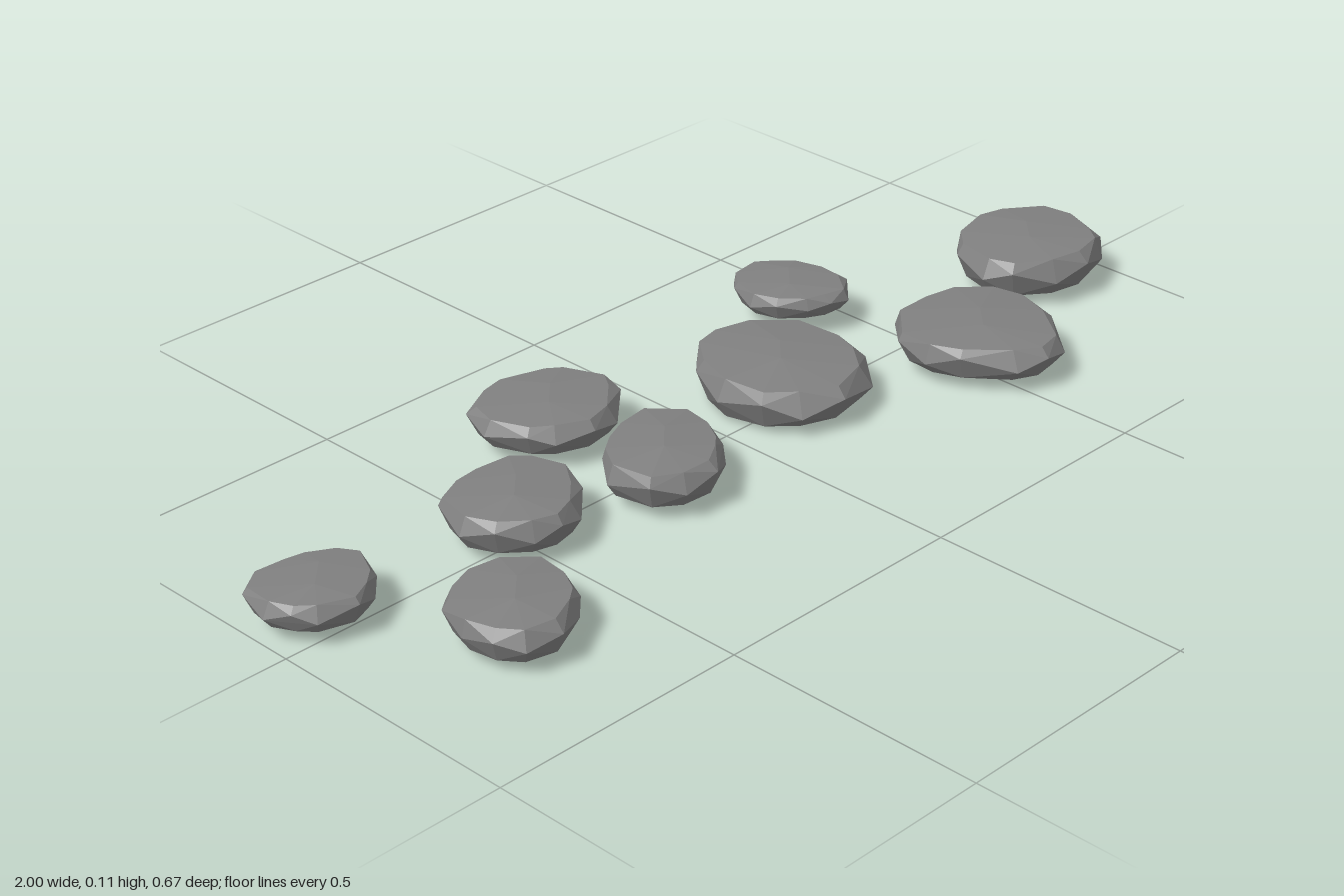
import * as THREE from 'three';
import { ConvexGeometry } from 'three/addons/geometries/ConvexGeometry.js';

// x, z, w, d: centre and extent seen from above; y0, y1: underside and crown heights
// skew: stretch along one diagonal; point: three-cornered bulge facing `dir` degrees
const STONES = [
  { x: -0.89, z: -0.05, w: 0.22, d: 0.19, y0: 0.03, y1: 0.086, skew: 0.03, point: 0.06, dir: 95 },
  { x: -0.705, z: 0.218, w: 0.23, d: 0.235, y0: 0.024, y1: 0.093, skew: -0.05, point: 0.04, dir: 110 },
  { x: -0.492, z: -0.015, w: 0.255, d: 0.235, y0: 0.027, y1: 0.097, skew: -0.01, point: 0.04, dir: 325 },
  { x: -0.23, z: -0.21, w: 0.28, d: 0.24, y0: 0.033, y1: 0.096, skew: 0.07, point: 0.04, dir: 225 },
  { x: -0.205, z: 0.05, w: 0.255, d: 0.235, y0: 0.028, y1: 0.1, skew: -0.14, point: 0.05, dir: 315 },
  { x: 0.17, z: -0.03, w: 0.3, d: 0.34, y0: 0.01, y1: 0.097, skew: 0, point: 0.02, dir: 45, tilt: 0.065 },
  { x: 0.407, z: -0.23, w: 0.195, d: 0.215, y0: 0.042, y1: 0.09, skew: 0.1, point: 0.04, dir: 45 },
  { x: 0.522, z: 0.146, w: 0.288, d: 0.315, y0: 0.027, y1: 0.096, skew: 0.05, point: 0.05, dir: 85 },
  { x: 0.85, z: -0.015, w: 0.3, d: 0.27, y0: 0.026, y1: 0.107, skew: 0, point: 0.02, dir: 180 },
];
const SIDES = 12;

// Small repeatable noise source
function seeded(seed) {
  let s = seed;
  return () => (s = (s * 16807) % 2147483647) / 2147483647;
}

// Irregular rounded outline around the origin, w wide and d deep
function stoneOutline({ w, d, skew, point, dir }, rand) {
  const outline = [];
  for (let i = 0; i < SIDES; i++) {
    const a = ((i + (rand() - 0.5) * 0.5) / SIDES) * Math.PI * 2;
    const bulge = point * Math.cos(3 * (a - THREE.MathUtils.degToRad(dir)));
    const r = 1 + skew * Math.sin(2 * a) + bulge;
    outline.push(new THREE.Vector2(r * Math.cos(a), r * Math.sin(a)));
  }
  const box = new THREE.Box2().setFromPoints(outline);
  const centre = box.getCenter(new THREE.Vector2());
  const fit = new THREE.Vector2(w, d).divide(box.getSize(new THREE.Vector2()));
  return outline.map((p) => p.sub(centre).multiply(fit));
}

// Faceted slab: flat underside, wavy widest rim, uneven upper edge, shallow crown
function stoneGeometry(stone, rand) {
  const { y0, y1, tilt = 0 } = stone;
  const h = y1 - y0;
  const points = [];
  stoneOutline(stone, rand).forEach((p, i) => {
    const add = (scale, y) => points.push(new THREE.Vector3(p.x * scale, y, p.y * scale));
    const wave = (i % 2 ? 0.13 : -0.13) + (rand() - 0.5) * 0.1;
    const inset = 0.82 + rand() * 0.1 + (p.y < 0 ? 0.05 : 0);
    add(0.86, y0 + tilt * p.y * 0.86);
    add(1, y0 + h * (0.5 + wave));
    add(inset, y0 + h * 0.87);
  });
  // crown: a short off-centre ridge
  points.push(new THREE.Vector3(-0.02, y1, 0.02), new THREE.Vector3(0.03, y1 - 0.001, -0.03));
  return new ConvexGeometry(points);
}

export function createModel() {
  const model = new THREE.Group();
  model.name = 'steppingStones';
  const material = new THREE.MeshStandardMaterial({ color: 0x808080, flatShading: true });
  const rand = seeded(4217);
  STONES.forEach((stone, i) => {
    const mesh = new THREE.Mesh(stoneGeometry(stone, rand), material);
    mesh.name = `stone${i + 1}`;
    mesh.position.set(stone.x, 0, stone.z);
    model.add(mesh);
  });
  return model;
}
